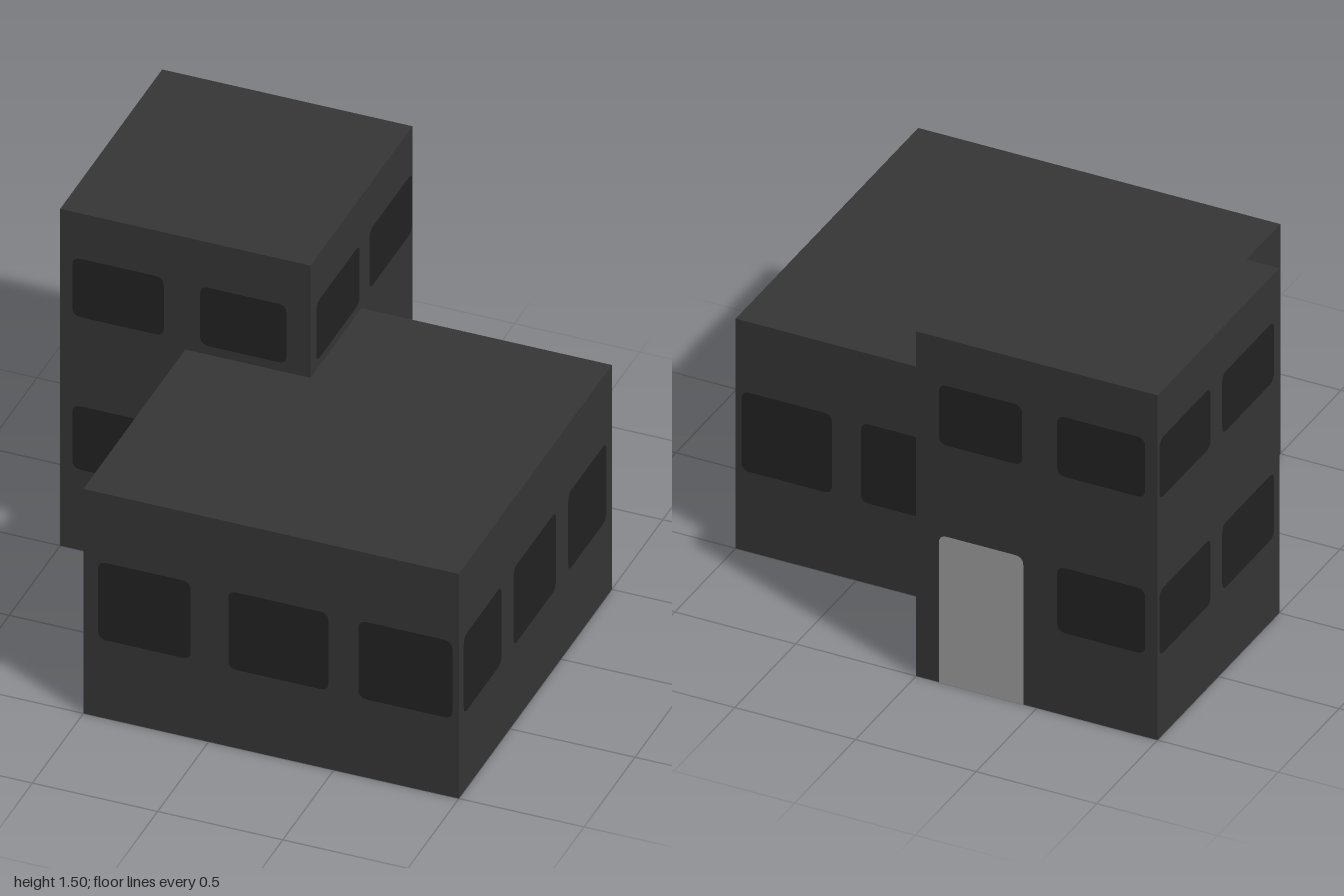
import * as THREE from 'three';

const wallMat = new THREE.MeshStandardMaterial({ color: 0x353535 });
wallMat.name = 'wall grey';
const glassMat = new THREE.MeshStandardMaterial({ color: 0x222222 });
glassMat.name = 'window dark grey';
const doorMat = new THREE.MeshStandardMaterial({ color: 0x9c9c9c });
doorMat.name = 'door light grey';

// Box given by its x, y and z ranges
function block(name, [x0, x1], [y0, y1], [z0, z1]) {
  const geo = new THREE.BoxGeometry(x1 - x0, y1 - y0, z1 - z0);
  geo.translate((x0 + x1) / 2, (y0 + y1) / 2, (z0 + z1) / 2);
  const mesh = new THREE.Mesh(geo, wallMat);
  mesh.name = name;
  return mesh;
}

// Rectangle with rounded top corners (rt) and bottom corners (rb)
function roundedPanel(w, h, rt, rb) {
  const x = w / 2, y = h / 2;
  const s = new THREE.Shape();
  s.moveTo(-x + rb, -y);
  s.lineTo(x - rb, -y);
  if (rb) s.quadraticCurveTo(x, -y, x, -y + rb);
  s.lineTo(x, y - rt);
  s.quadraticCurveTo(x, y, x - rt, y);
  s.lineTo(-x + rt, y);
  s.quadraticCurveTo(-x, y, -x, y - rt);
  s.lineTo(-x, -y + rb);
  if (rb) s.quadraticCurveTo(-x, -y, -x + rb, -y);
  return new THREE.ShapeGeometry(s, 5);
}

// Outward turn of each wall side, and the sign of its outward axis
const SIDES = {
  front: { turn: 0, sign: 1, alongX: true },
  right: { turn: Math.PI / 2, sign: 1, alongX: false },
  back: { turn: Math.PI, sign: -1, alongX: true },
  left: { turn: -Math.PI / 2, sign: -1, alongX: false },
};

// Thin panel on a wall; span runs along x or z, plane is the wall's position
function panel(name, side, plane, span, [y0, y1], mat, rb = 0.035) {
  const { turn, sign, alongX } = SIDES[side];
  const mesh = new THREE.Mesh(roundedPanel(span[1] - span[0], y1 - y0, 0.035, rb), mat);
  const mid = (span[0] + span[1]) / 2, out = plane + sign * 0.003;
  mesh.position.set(alongX ? mid : out, (y0 + y1) / 2, alongX ? out : mid);
  mesh.rotation.y = turn;
  mesh.name = name;
  return mesh;
}

export function createModel() {
  const house = new THREE.Group();
  house.name = 'house';

  // Two overlapping flat-roofed blocks
  house.add(block('lowBlock', [-0.5, 1], [0, 1], [-0.5, 1]));
  house.add(block('tower', [-1, 0], [0, 1.5], [-1, 0]));

  const mainRow = [0.35, 0.695], upperRow = [1.04, 1.3], lowerRow = [0.36, 0.643];
  const lowX = [[-0.44, -0.07], [0.08, 0.48], [0.6, 0.975]];
  const lowZ = [[-0.44, -0.065], [0.055, 0.47], [0.59, 0.96]];
  const towerX = [[-0.95, -0.585], [-0.44, -0.095]];
  const towerZ = [[-0.99, -0.57], [-0.475, -0.05]];

  // Rows of windows: name, side, wall position, spans, heights
  const rows = [
    ['lowFrontWindow', 'front', 1, lowX, mainRow],
    ['lowRightWindow', 'right', 1, lowZ, mainRow],
    ['lowBackWindow', 'back', -0.5, lowX.slice(1), mainRow],
    ['lowLeftWindow', 'left', -0.5, lowZ.slice(1), mainRow],
    ['towerUpperFrontWindow', 'front', 0, towerX, upperRow],
    ['towerUpperRightWindow', 'right', 0, towerZ, upperRow],
    ['towerUpperBackWindow', 'back', -1, towerX, upperRow],
    ['towerUpperLeftWindow', 'left', -1, towerZ, upperRow],
    ['towerLowerFrontWindow', 'front', 0, towerX.slice(0, 1), lowerRow],
    ['towerLowerBackWindow', 'back', -1, towerX.slice(0, 1), lowerRow],
    ['towerLowerLeftWindow', 'left', -1, towerZ, lowerRow],
  ];
  for (const [name, side, plane, spans, heights] of rows) {
    spans.forEach((span, i) =>
      house.add(panel(name + (i + 1), side, plane, span, heights, glassMat)));
  }

  // Door on the back of the tower
  house.add(panel('door', 'back', -1, [-0.445, -0.095], [0, 0.643], doorMat, 0));
  return house;
}
